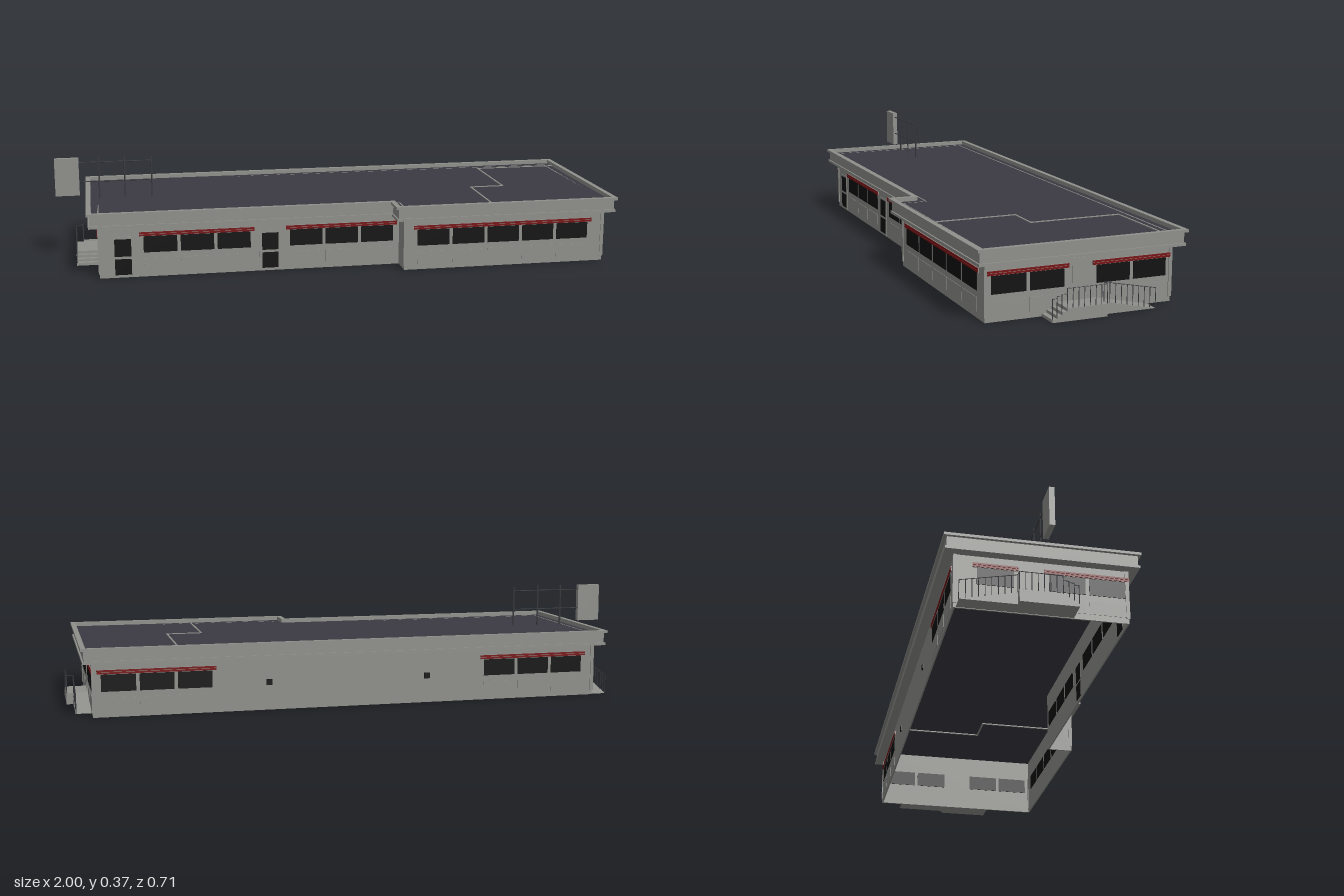
import * as THREE from 'three';

const mat = (name, color, side = THREE.FrontSide) => {
  const m = new THREE.MeshStandardMaterial({ color, side });
  m.name = name;
  return m;
};

export function createModel() {
  const root = new THREE.Group();
  const M = {
    wall: mat('grey wall', 0x8f908b),
    roof: mat('dark roof', 0x3b3a42, THREE.DoubleSide),
    glass: mat('black glass', 0x0f0f10),
    red: mat('red stripe', 0x761214),
    metal: mat('dark metal', 0x3a3b40),
  };
  const add = (name, geo, m, parent = root) => {
    const mesh = new THREE.Mesh(geo, m);
    mesh.name = name;
    parent.add(mesh);
    return mesh;
  };
  const box = (name, x0, x1, y0, y1, z0, z1, m, parent) => {
    const b = add(name, new THREE.BoxGeometry(Math.abs(x1 - x0), y1 - y0, Math.abs(z1 - z0)), m, parent);
    b.position.set((x0 + x1) / 2, (y0 + y1) / 2, (z0 + z1) / 2);
    return b;
  };
  const rod = (name, a, b, r, m, parent) => {
    const p = new THREE.Vector3(...a), q = new THREE.Vector3(...b);
    const c = add(name, new THREE.CylinderGeometry(r, r, p.distanceTo(q), 6), m, parent);
    c.position.copy(p).lerp(q, 0.5);
    c.quaternion.setFromUnitVectors(new THREE.Vector3(0, 1, 0), q.sub(p).normalize());
  };

  // Stepped floor plan, grown outwards by d (shape y is -z)
  const plan = (d) => [
    [-0.86 - d, -0.235 - d], [0.19 - d, -0.235 - d], [0.19 - d, -0.32 - d],
    [0.925 + d, -0.32 - d], [0.925 + d, 0.32 + d], [-0.86 - d, 0.32 + d],
  ].map(([x, y]) => new THREE.Vector2(x, y));
  const ring = (name, outer, inner, y0, y1) => {
    const s = new THREE.Shape(plan(outer));
    s.holes.push(new THREE.Path(plan(inner)));
    const mesh = add(name, new THREE.ExtrudeGeometry(s, { depth: y1 - y0, bevelEnabled: false }), M.wall);
    mesh.rotation.x = -Math.PI / 2;
    mesh.position.y = y0;
  };

  // Open-bottomed shell, cornice and roof
  ring('walls', -0.003, -0.008, 0, 0.222);
  ring('corniceLip', 0.03, -0.005, 0.183, 0.192);
  ring('corniceBand', 0.025, 0.018, 0.192, 0.227);
  ring('corniceCap', 0.035, 0.018, 0.227, 0.236);
  const roof = add('roof', new THREE.ShapeGeometry(new THREE.Shape(plan(0.02))), M.roof);
  roof.rotation.x = -Math.PI / 2;
  roof.position.y = 0.222;

  // Thin stepped curb on the roof
  const curb = [[0.94, -0.285], [0.635, -0.285], [0.635, 0.035], [0.512, 0.035], [0.512, 0.335]];
  for (let i = 0; i < 4; i++) {
    const [a, b] = [curb[i], curb[i + 1]], e = 0.003;
    box('roofCurb', Math.min(a[0], b[0]) - e, Math.max(a[0], b[0]) + e, 0.218, 0.2245,
      Math.min(a[1], b[1]) - e, Math.max(a[1], b[1]) + e, M.wall);
  }

  // Facades: u runs along the wall, depth is measured outwards from it
  const sides = {
    front: { axis: 'z', pos: 0.232, sign: 1 },
    frontBay: { axis: 'z', pos: 0.317, sign: 1 },
    back: { axis: 'z', pos: -0.317, sign: -1 },
    right: { axis: 'x', pos: 0.922, sign: 1 },
    left: { axis: 'x', pos: -0.857, sign: -1 },
  };
  const plate = (name, side, u0, u1, y0, y1, inn, out, m) => {
    const { axis, pos, sign } = sides[side];
    const d0 = pos + sign * inn, d1 = pos + sign * out;
    return axis === 'z' ? box(name, u0, u1, y0, y1, d0, d1, m) : box(name, d0, d1, y0, y1, u0, u1, m);
  };

  // Window groups: side, start, count, striped band end margins
  const W = 0.115, STEP = 0.127;
  const groups = [
    ['front', -0.705, 3], ['front', -0.198, 3], ['frontBay', 0.24, 5],
    ['back', 0.525, 3], ['back', -0.81, 3],
    ['right', 0.055, 2], ['right', -0.297, 2],
    ['left', -0.02, 2], ['left', -0.246, 1],
  ];
  for (const [side, u, n] of groups) {
    for (let i = 0; i < n; i++) {
      const a = u + i * STEP;
      plate('window', side, a, a + W, 0.086, 0.143, -0.007, 0.002, M.glass);
      plate('wallPanel', side, a, a + W, 0.02, 0.065, 0, 0.0015, M.wall);
    }
    const end = u + (n - 1) * STEP + W;
    plate('stripeBacking', side, u - 0.014, end + 0.014, 0.144, 0.159, 0, 0.003, M.wall);
    plate('lowerStripe', side, u - 0.014, end + 0.014, 0.145, 0.151, 0, 0.005, M.red);
    plate('upperStripe', side, u - 0.014, end + 0.014, 0.1525, 0.1585, 0, 0.005, M.red);
  }

  // Front doors with two dark panes, plain side doors at the landings
  for (const u of [-0.813, -0.305]) {
    plate('frontDoor', 'front', u, u + 0.075, 0.003, 0.144, 0, 0.002, M.wall);
    for (const [y0, y1] of [[0.01, 0.066], [0.075, 0.136]])
      plate('doorPane', 'front', u + 0.009, u + 0.066, y0, y1, -0.007, 0.003, M.glass);
  }
  plate('sideDoor', 'right', -0.027, 0.027, 0.04, 0.173, 0, 0.002, M.wall);
  plate('sideDoor', 'left', -0.102, -0.048, 0.04, 0.173, 0, 0.002, M.wall);

  // Small wall vents on the back
  for (const x of [0.33, -0.23]) plate('vent', 'back', x - 0.01, x + 0.01, 0.085, 0.105, -0.007, 0.004, M.glass);

  // Corner pilasters
  for (const [x, z] of [[-0.86, 0.235], [0.19, 0.32], [0.925, 0.32], [0.925, -0.32], [-0.86, -0.32]]) {
    const sx = x === 0.19 ? -1 : Math.sign(x), sz = Math.sign(z);
    box('cornerPilaster', x, x - sx * 0.012, 0.016, 0.184, z, z - sz * 0.012, M.wall);
  }

  // Landing with ramp, steps and railing, built for the +x side
  const slab = (name, pts, width, parent) => {
    const s = new THREE.Shape(pts.map(([z, y]) => new THREE.Vector2(z, y)));
    const mesh = add(name, new THREE.ExtrudeGeometry(s, { depth: width, bevelEnabled: false }), M.wall, parent);
    mesh.rotation.y = -Math.PI / 2;
    mesh.position.x = width;
  };
  const entrance = (name) => {
    const g = new THREE.Group();
    g.name = name;
    root.add(g);
    slab('ramp', [[-0.235, 0], [-0.055, 0], [-0.055, 0.04]], 0.053, g);
    slab('landingSteps', [[-0.055, 0], [0.13, 0], [0.13, 0.01], [0.113, 0.01], [0.113, 0.02],
      [0.097, 0.02], [0.097, 0.03], [0.08, 0.03], [0.08, 0.04], [-0.055, 0.04]], 0.075, g);
    const r = 0.0013, xo = 0.073, xr = 0.051;
    const rail = (a, b) => rod('handrail', a, b, r, M.metal, g);
    rail([xo, 0.102, 0.08], [xo, 0.102, -0.055]);
    rail([xo, 0.102, -0.055], [xr, 0.102, -0.055]);
    rail([xr, 0.102, -0.055], [xr, 0.065, -0.235]);
    for (let i = 0; i <= 7; i++) {
      const z = 0.08 - i * 0.0193;
      rod('baluster', [xo, 0.04, z], [xo, 0.102, z], r, M.metal, g);
    }
    for (let i = 0; i <= 9; i++) {
      const t = i / 9, z = -0.055 - 0.18 * t;
      rod('baluster', [xr, 0.04 * (1 - t), z], [xr, 0.102 - 0.037 * t, z], r, M.metal, g);
    }
    // Stepped rail beside the stairs
    [[0.08, 0.098, 0.085, 0.03], [0.098, 0.114, 0.08, 0.02], [0.114, 0.129, 0.074, 0.01]].forEach(([z0, z1, y, foot]) => {
      rail([xo, y, z0], [xo, y, z1]);
      rod('baluster', [xo, foot, z1], [xo, y, z1], r, M.metal, g);
    });
    return g;
  };
  entrance('rightEntrance').position.x = 0.922;
  const other = entrance('leftEntrance');
  other.scale.x = -1;
  other.position.set(-0.86, 0, -0.075);

  // Blank sign board braced by roof posts
  const sz = -0.042;
  box('signBoard', -1, -0.915, 0.235, 0.37, sz - 0.009, sz + 0.009, M.wall);
  for (const x of [-0.845, -0.754, -0.658]) rod('signPost', [x, 0.222, sz], [x, 0.37, sz], 0.003, M.metal);
  for (const y of [0.283, 0.353]) rod('signRail', [-0.915, y, sz], [-0.658, y, sz], 0.002, M.metal);

  return root;
}
